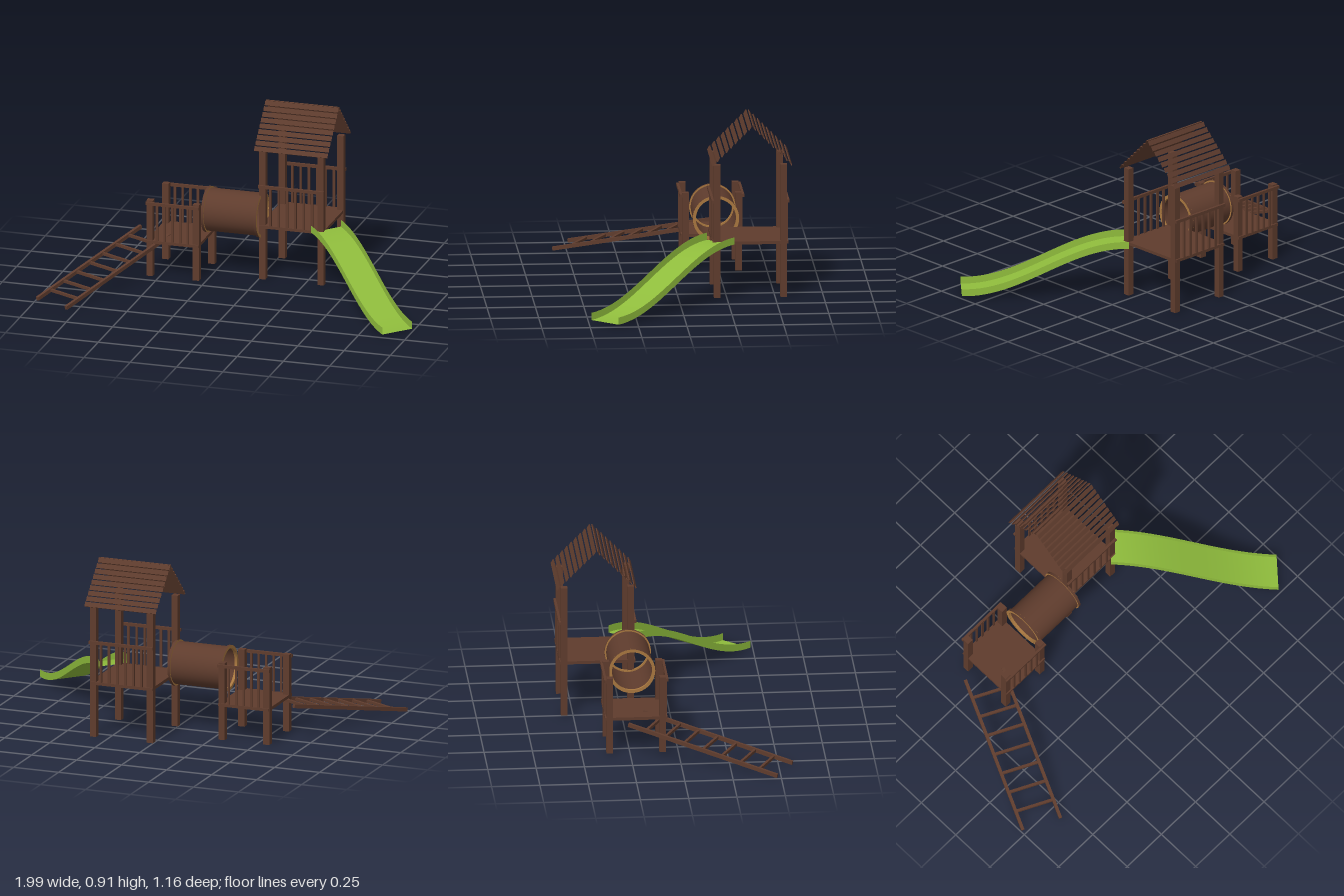
import * as THREE from 'three';

const wood = new THREE.MeshStandardMaterial({ color: 0x5f3c2d, side: THREE.DoubleSide });
wood.name = 'brown wood';
const gold = new THREE.MeshStandardMaterial({ color: 0xa8773f, side: THREE.DoubleSide });
gold.name = 'tan trim';
const green = new THREE.MeshStandardMaterial({ color: 0x8fbc3c, side: THREE.DoubleSide });
green.name = 'green slide';

function add(parent, name, geo, mat, x = 0, y = 0, z = 0) {
  const m = new THREE.Mesh(geo, mat);
  m.name = name;
  m.position.set(x, y, z);
  parent.add(m);
  return m;
}

// box given by its lower and upper corners
function block(parent, name, a, b) {
  const s = b.map((v, i) => v - a[i]);
  return add(parent, name, new THREE.BoxGeometry(...s), wood, ...b.map((v, i) => (v + a[i]) / 2));
}

// platform on four posts with a railing on its front and back
function tower(name, o) {
  const g = new THREE.Group();
  g.name = name;
  const h = 0.0172;
  for (const x of o.x) for (const z of o.z) block(g, 'post', [x - h, 0, z - h], [x + h, o.top, z + h]);
  const [x0, x1] = [o.x[0] - h, o.x[1] + h];
  const [z0, z1] = [o.z[0] - h, o.z[1] + h];
  block(g, 'platform', [x0 + 0.002, o.deck - 0.016, z0 + 0.002], [x1 - 0.002, o.deck, z1 - 0.002]);
  for (const [face, dir] of [[z0, -1], [z1, 1]]) {
    const span = (d0, d1) => [face + dir * d0, face + dir * d1].sort((p, q) => p - q);
    const [r0, r1] = span(-0.001, 0.012);
    const [b0, b1] = span(-0.002, 0.007);
    block(g, 'topRail', [x0 - 0.002, o.rail - 0.016, r0], [x1 + 0.002, o.rail, r1]);
    block(g, 'bottomRail', [x0 + 0.002, o.deck - 0.015, b0], [x1 - 0.002, o.deck, b1]);
    for (let i = 1; i <= o.bars; i++) {
      const x = o.x[0] + (o.x[1] - o.x[0]) * i / (o.bars + 1);
      block(g, 'baluster', [x - 0.006, o.deck, b0], [x + 0.006, o.rail - 0.012, b1]);
    }
  }
  return g;
}

// two slopes of overlapping, open-ended slats
function roof() {
  const g = new THREE.Group();
  g.name = 'roof';
  const n = 9, step = 0.21 / n;
  const slat = new THREE.BoxGeometry(0.395, 0.025, 0.006);
  slat.setIndex(Array.from(slat.index.array).slice(12));
  slat.clearGroups();
  for (const side of [-1, 1]) {
    for (let i = 0; i < n; i++) {
      const d = (i + 0.5) * step;
      const m = add(g, 'roofSlat', slat, wood, 0.175, 0.91 - d, -0.38 + side * d);
      m.rotation.x = -side * 0.5;
    }
  }
  return g;
}

// open tube between the platforms with a trimmed collar at each end
function tunnel() {
  const g = new THREE.Group();
  g.name = 'tunnel';
  const tube = (name, r, x0, x1, mat) => {
    const m = add(g, name, new THREE.CylinderGeometry(r, r, x1 - x0, 40, 1, true), mat, (x0 + x1) / 2);
    m.rotation.z = Math.PI / 2;
  };
  tube('tunnelWall', 0.112, -0.285, 0.01, wood);
  for (const x of [-0.28, 0.005]) {
    tube('collar', 0.12, x - 0.007, x + 0.007, wood);
    tube('collarLining', 0.104, x - 0.007, x + 0.007, gold);
    for (const side of [-1, 1]) {
      const ring = add(g, 'collarTrim', new THREE.RingGeometry(0.104, 0.12, 40), gold, x + side * 0.0072);
      ring.rotation.y = side * Math.PI / 2;
    }
  }
  g.position.set(0, 0.343, -0.217);
  return g;
}

// bar with a rectangular section between two points
function bar(parent, name, a, b, w, h) {
  const m = add(parent, name, new THREE.BoxGeometry(w, h, a.distanceTo(b)), wood);
  m.position.copy(a).lerp(b, 0.5);
  m.lookAt(b);
}

// leaning ladder
function ladder() {
  const g = new THREE.Group();
  g.name = 'ladder';
  const top = new THREE.Vector3(-0.662, 0.192, -0.265);
  const foot = new THREE.Vector3(-0.99, 0.012, 0.48);
  const across = new THREE.Vector3(0.183, 0, 0.092);
  const other = (p) => p.clone().add(across);
  bar(g, 'ladderRail', top, foot, 0.016, 0.02);
  bar(g, 'ladderRail', other(top), other(foot), 0.016, 0.02);
  for (let i = 0; i < 7; i++) {
    const p = top.clone().lerp(foot, 0.12 + 0.126 * i);
    bar(g, 'rung', p, other(p), 0.014, 0.014);
  }
  return g;
}

// S-curved channel: a floor and two upright walls, each swept from a section edge
function slide() {
  const g = new THREE.Group();
  g.name = 'slide';
  const n = 28, wall = 0.038;
  const strip = (name, e0, e1) => {
    const pos = [], idx = [];
    for (let i = 0; i <= n; i++) {
      const s = i / n;
      const y = 0.012 + 0.283 * (1 + Math.cos(Math.PI * s)) / 2;
      for (const [u, v] of [e0, e1]) {
        pos.push(0.292 + 0.583 * s + 0.12 * u, y + v, -0.152 + 0.638 * s - 0.133 * u);
      }
      if (i < n) {
        const k = i * 2;
        idx.push(k, k + 2, k + 1, k + 1, k + 2, k + 3);
      }
    }
    const geo = new THREE.BufferGeometry();
    geo.setAttribute('position', new THREE.Float32BufferAttribute(pos, 3));
    geo.setIndex(idx);
    geo.computeVertexNormals();
    add(g, name, geo, green);
  };
  strip('slideFloor', [0, 0], [1, 0]);
  strip('slideWall', [0, wall], [0, 0]);
  strip('slideWall', [1, 0], [1, wall]);
  return g;
}

export function createModel() {
  const model = new THREE.Group();
  model.name = 'playground';
  model.add(
    tower('tallTower', { x: [0.019, 0.334], z: [-0.545, -0.201], top: 0.7, deck: 0.296, rail: 0.515, bars: 6 }),
    tower('lowTower', { x: [-0.552, -0.303], z: [-0.354, -0.08], top: 0.412, deck: 0.196, rail: 0.405, bars: 5 }),
    roof(),
    tunnel(),
    ladder(),
    slide(),
  );
  return model;
}
